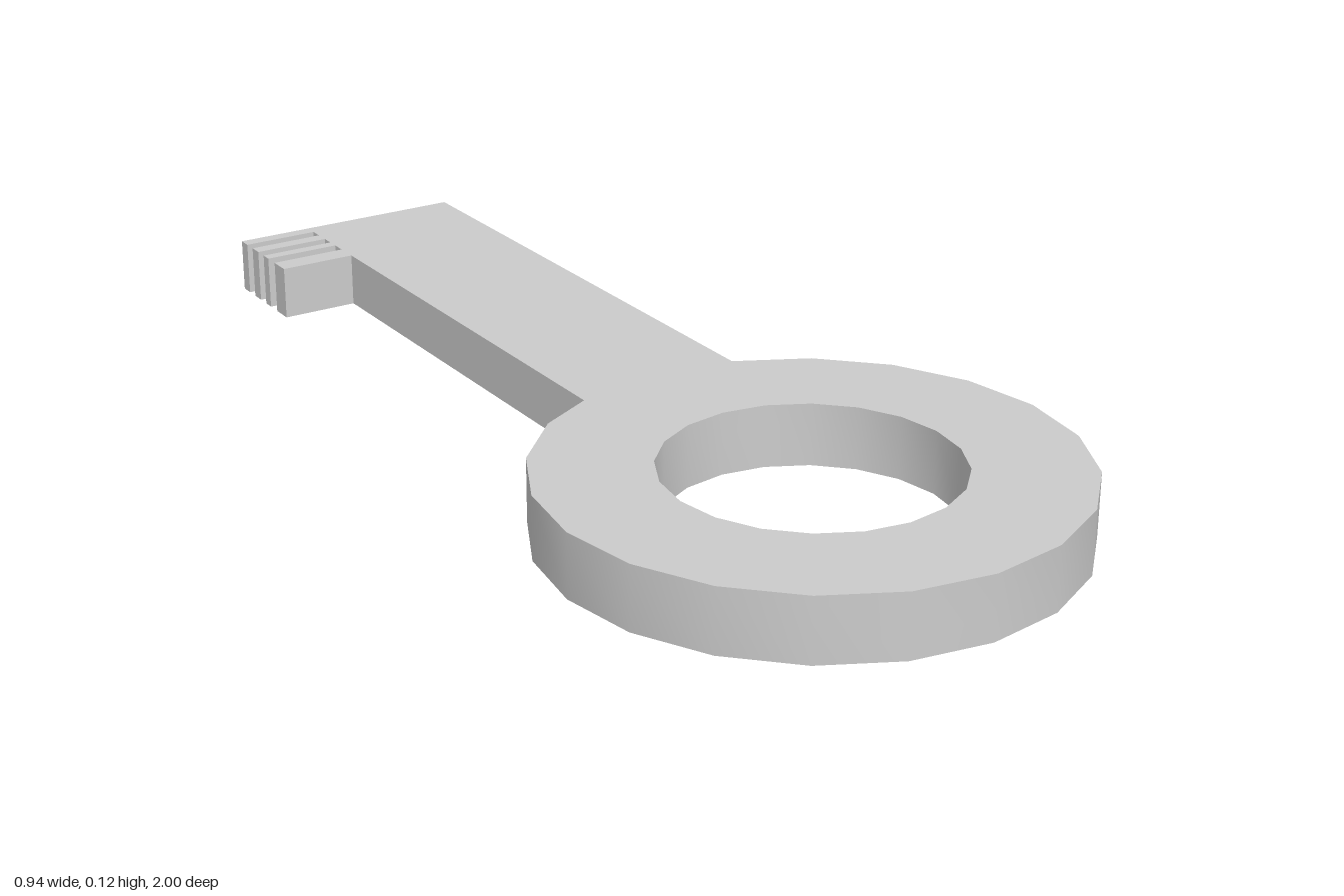
import * as THREE from 'three';
import { toCreasedNormals } from 'three/addons/utils/BufferGeometryUtils.js';

const material = new THREE.MeshStandardMaterial({ color: 0xcccccc });

// Regular polygon with a corner on each axis
function polygon(radius, sides) {
  return Array.from({ length: sides }, (_, i) => {
    const a = (i / sides) * Math.PI * 2;
    return new THREE.Vector2(radius * Math.cos(a), radius * Math.sin(a));
  });
}

// Flat plate lying on the ground plane: shape y becomes -z
function plate(name, shape, bottom, top) {
  let geometry = new THREE.ExtrudeGeometry(shape, { depth: top - bottom, bevelEnabled: false });
  geometry.rotateX(-Math.PI / 2);
  geometry = toCreasedNormals(geometry, 0.5);
  const mesh = new THREE.Mesh(geometry, material);
  mesh.name = name;
  mesh.position.y = bottom;
  return mesh;
}

export function createModel() {
  const key = new THREE.Group();
  key.name = 'key';

  // Round handle with a hole
  const ring = new THREE.Shape(polygon(0.468, 20));
  ring.holes.push(new THREE.Path(polygon(0.258, 20)));
  const bow = plate('bow', ring, 0, 0.116);
  bow.position.z = 0.532;
  key.add(bow);

  // Shaft, with the teeth cut along its left-hand edge as seen from above
  const left = -0.162, right = 0.157, tip = -0.31;
  const teeth = [[0.803, 0.846], [0.875, 0.897], [0.922, 0.949], [0.974, 1]];
  const outline = [[right, 1], [right, -0.2], [left, -0.2]];
  for (const [from, to] of teeth) {
    outline.push([left, from], [tip, from], [tip, to]);
    if (to < 1) outline.push([left, to]);
  }
  // Run clockwise or not, ExtrudeGeometry orients the faces outward
  const shaft = new THREE.Shape(outline.map(([x, y]) => new THREE.Vector2(x, y)));
  key.add(plate('shaftWithTeeth', shaft, 0.007, 0.109));

  return key;
}
